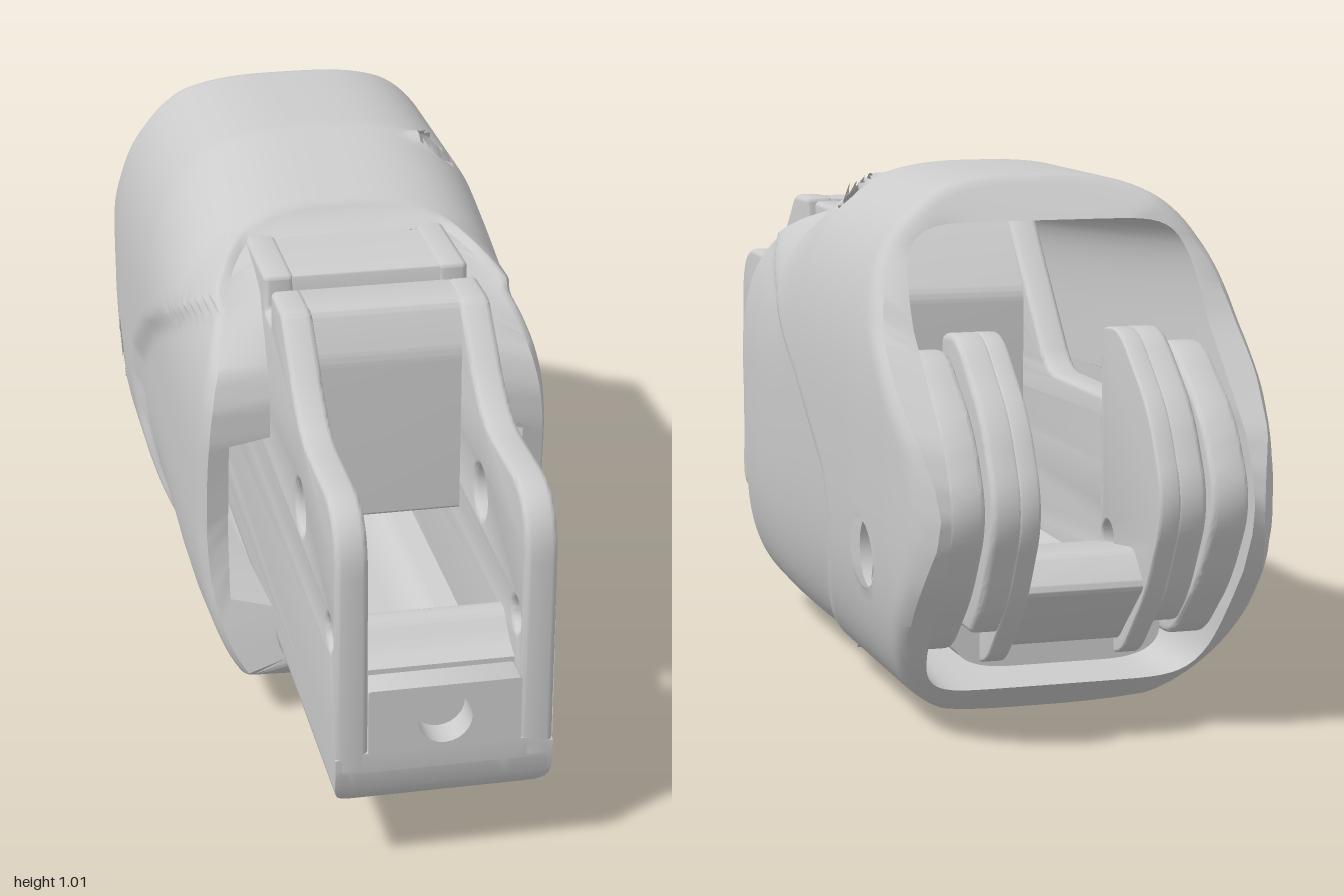
import * as THREE from 'three';
import { toCreasedNormals } from 'three/addons/utils/BufferGeometryUtils.js';

const mat = new THREE.MeshStandardMaterial({ color: 0xcccccc, side: THREE.DoubleSide });

// Piecewise-linear lookup in [key, value] pairs with ascending keys
function look(table, v) {
  if (v <= table[0][0]) return table[0][1];
  for (let i = 1; i < table.length; i++) {
    const [a, p] = table[i - 1], [b, q] = table[i];
    if (v <= b) return p + (q - p) * (v - a) / (b - a);
  }
  return table[table.length - 1][1];
}

// Polygon with rounded corners; a corner is [x, y, radius]
function rounded(points, radius = 0.02) {
  const s = new THREE.Shape(), n = points.length;
  points.forEach((p, i) => {
    const c = new THREE.Vector2(p[0], p[1]);
    const near = (q) => {
      const d = new THREE.Vector2(q[0], q[1]).sub(c);
      return c.clone().addScaledVector(d, Math.min(p[2] ?? radius, d.length() * 0.48) / d.length());
    };
    const a = near(points[(i + n - 1) % n]), b = near(points[(i + 1) % n]);
    if (i) s.lineTo(a.x, a.y); else s.moveTo(a.x, a.y);
    s.quadraticCurveTo(c.x, c.y, b.x, b.y);
  });
  s.closePath();
  return s;
}

function addHoles(shape, holes) {
  for (const [u, v, r] of holes) {
    const h = new THREE.Path();
    h.absarc(u, v, r, 0, Math.PI * 2, true);
    shape.holes.push(h);
  }
  return shape;
}

function add(group, name, geo) {
  const m = new THREE.Mesh(geo, mat);
  m.name = name;
  group.add(m);
  return m;
}

// Side outline in (z, y), extruded from x0 to x1
function slab(group, name, shape, x0, x1, bevel = 0) {
  const geo = new THREE.ExtrudeGeometry(shape, {
    depth: x1 - x0 - 2 * bevel, curveSegments: 10, bevelEnabled: bevel > 0,
    bevelSize: bevel, bevelOffset: -bevel, bevelThickness: bevel, bevelSegments: 3,
  });
  geo.rotateY(-Math.PI / 2).translate(x1 - bevel, 0, 0);
  return add(group, name, toCreasedNormals(geo, 0.6));
}

// Edges and envelope of the shell
const FRONT = [[-1, 0.28], [-0.8, 0.43], [-0.6, 0.41], [-0.38, 0.38], [-0.15, 0.37], [0.1, 0.385], [0.3, 0.4],
  [0.46, 0.4], [0.6, 0.38], [0.717, 0.33], [0.8, 0.27], [0.87, 0.19], [0.94, 0.08], [1, 0.04]];
const REAR = [[-1, -0.62], [-0.94, -0.7], [-0.7, -0.81], [-0.37, -0.95], [-0.22, -0.99], [-0.11, -1], [0, -0.985],
  [0.13, -0.95], [0.3, -0.86], [0.485, -0.76], [0.76, -0.67], [0.92, -0.65], [1, -0.61]];
const TOP = [[-0.22, 1.02], [-0.1, 0.985], [0.04, 0.935]];
const WIDTH = [[-1, 0.31], [-0.95, 0.335], [-0.85, 0.355], [-0.65, 0.37], [0.2, 0.37], [0.42, 0.36]];
const CREASE = [[0.03, -0.12], [0.1, -0.24], [0.2, -0.38], [0.3, -0.46], [0.38, -0.48], [0.46, -0.45],
  [0.6, -0.25], [0.83, 0.2], [0.9, 0.4]];
const PIVOT = [-0.7, 0.35, 0.065];
const SCREWS = [[-0.21, 0.96, 0.037], [-0.15, 0.07, 0.034]];

// Radial superellipse point on the unit square
function ring(angle, n) {
  const c = Math.cos(angle), s = Math.sin(angle);
  const k = (Math.abs(c) ** n + Math.abs(s) ** n) ** (-1 / n);
  return [c * k, s * k];
}

function outerPoint(t, angle) {
  const [u, s] = ring(angle, 3);
  const z = THREE.MathUtils.lerp(look(FRONT, s), look(REAR, s), t);
  const mid = (0.01 + look(TOP, z)) / 2;
  const lip = Math.max(0, 1 - Math.min(t, 1 - t) / 0.04);
  const k = 1 - 0.035 * lip * lip;
  const y = mid + s * k * (mid - 0.01);
  // shallow step along the swept side crease
  const step = 0.018 * THREE.MathUtils.smoothstep(z - look(CREASE, y), 0, 0.07);
  return [u * k * (look(WIDTH, z) - step), y, z];
}

function innerPoint(t, angle) {
  const [u, s] = ring(angle, 8), lerp = THREE.MathUtils.lerp;
  const bottom = lerp(0.12, 0.09, t), top = lerp(0.9, 0.94, t);
  const y = (bottom + top) / 2 + s * (top - bottom) / 2;
  let x = u * lerp(0.21, 0.28, t);
  // side pockets
  if (y > 0.25 && y < 0.6) x = Math.sign(x) * Math.max(Math.abs(x), 0.29 - 0.01 * t);
  return [x, y, lerp(look(FRONT, (y - 0.47) / 0.46), look(REAR, (y - 0.515) / 0.505), t)];
}

// Hollow shell: outer skin, rear rim, inner skin, front rim in one closed strip
function shellGeometry() {
  const N = 168, S = 64, pos = [], cut = [], idx = [];
  for (let i = 0; i < 2 * S; i++) {
    const outer = i < S, t = (outer ? i : 2 * S - 1 - i) / (S - 1);
    for (let j = 0; j < N; j++) {
      const p = (outer ? outerPoint : innerPoint)(t, (j / N) * Math.PI * 2);
      let inside = false;
      for (const [hz, hy, r] of outer ? [PIVOT, ...SCREWS] : [PIVOT]) {
        const dz = p[2] - hz + 1e-6, dy = p[1] - hy, d = Math.hypot(dz, dy);
        if (d > r || Math.abs(p[0]) < 0.12 || (r < 0.05 && p[0] < 0)) continue;
        inside = true;
        p[2] = hz + dz * r / d;
        p[1] = hy + dy * r / d;
      }
      pos.push(...p);
      cut.push(inside);
    }
  }
  for (let i = 0; i < 2 * S; i++) for (let j = 0; j < N; j++) {
    const k = (i + 1) % (2 * S), l = (j + 1) % N;
    const a = i * N + j, b = i * N + l, c = k * N + j, d = k * N + l;
    if (!(cut[a] && cut[b] && cut[c] && cut[d])) idx.push(a, c, b, b, c, d);
  }
  const g = new THREE.BufferGeometry();
  g.setAttribute('position', new THREE.Float32BufferAttribute(pos, 3));
  g.setIndex(idx);
  return toCreasedNormals(g, 0.6);
}

// Cross-section in (x, y) extruded along z, with its lower front edge rounded
function section(group, name, shape, z0, z1, steps) {
  const geo = new THREE.ExtrudeGeometry(shape, { depth: z1 - z0, steps, bevelEnabled: false, curveSegments: 12 });
  geo.translate(0, 0, z0);
  const p = geo.attributes.position, r = 0.09;
  for (let i = 0; i < p.count; i++) {
    const e = Math.max(0, p.getZ(i) - (1 - r));
    p.setY(i, Math.max(p.getY(i), 0.13 + r - Math.sqrt(Math.max(0, r * r - e * e))));
  }
  return add(group, name, toCreasedNormals(geo, 0.6));
}

export function createModel() {
  const model = new THREE.Group();

  const shell = new THREE.Group();
  shell.name = 'shell';
  model.add(shell);
  add(shell, 'shellBody', shellGeometry());

  const tab = [[-0.66, 0.74], [-0.75, 0.75, 0.06], [-0.91, 0.62, 0.06], [-0.995, 0.46, 0.08], [-0.9, 0.28, 0.06],
    [-0.77, 0.14, 0.05], [-0.66, 0.14]];
  const lug = tab.map(([z, y, r]) => [z, 0.45 + (y - 0.45) * 0.9, r]);
  for (const side of [-1, 1]) {
    const span = (a, b) => (side > 0 ? [a, b] : [-b, -a]);
    // pivot lugs inside the shell and the pivot bores
    slab(shell, 'pivotLug', addHoles(rounded(lug), [[-0.7, 0.35, 0.033]]), ...span(0.21, 0.28), 0.01);
    const bore = add(shell, 'pivotBore', new THREE.CylinderGeometry(0.065, 0.065, 0.075, 32, 1, true));
    bore.rotation.z = Math.PI / 2;
    bore.position.set(side * 0.31, 0.35, -0.7);
  }

  // screw seats on one side
  for (const [z, y, r] of SCREWS) {
    const wall = add(shell, 'screwSeat', new THREE.CylinderGeometry(r, r, 0.06, 24, 1, true));
    wall.rotation.z = Math.PI / 2;
    wall.position.set(0.18, y, z);
    const screw = add(shell, 'screw', new THREE.CylinderGeometry(r * 0.65, r, 0.03, 24));
    screw.rotation.z = -Math.PI / 2;
    screw.position.set(0.175, y, z);
  }

  const arm = new THREE.Group();
  arm.name = 'arm';
  model.add(arm);

  // side plates with pin holes, thicker at the rear tabs
  const plate = [[1, 0.22, 0.005], [1, 0.74, 0.13], [0.68, 0.735, 0.07], [0.6, 0.78, 0.05], [0.47, 0.9], [0.36, 0.9, 0.01],
    [0.36, 0.83, 0.01], [0.29, 0.83, 0.01], [0.29, 0.9, 0.01], [0.02, 0.9], [-0.25, 0.6, 0.05], [-0.66, 0.6, 0.01],
    ...tab.slice(0, 5), [-0.84, 0.22, 0.01]];
  const pins = [[0.66, 0.59, 0.05], [0.94, 0.48, 0.03], [-0.7, 0.35, 0.033]];
  for (const side of [-1, 1]) {
    const span = (a, b) => (side > 0 ? [a, b] : [-b, -a]);
    slab(arm, 'sidePlate', addHoles(rounded(plate), pins), ...span(0.14, 0.2), 0.012);
    slab(arm, 'rearTab', addHoles(rounded(tab), [pins[2]]), ...span(0.11, 0.15), 0.005);
  }

  // rounded floor of the channel
  const floor = rounded([[-0.2, 0.25, 0], [-0.2, 0.13, 0.11], [0.2, 0.13, 0.11], [0.2, 0.25, 0], [0.14, 0.27, 0],
    [0.09, 0.2, 0.06], [-0.09, 0.2, 0.06], [-0.14, 0.27, 0]]);
  section(arm, 'channelFloor', floor, -0.74, 0.95, 40);

  // front wall with its round socket, and the sloping crossbar behind it
  const wall = rounded([[-0.2, 0.25, 0], [-0.2, 0.13, 0.11], [0.2, 0.13, 0.11], [0.2, 0.25, 0], [0.14, 0.26, 0],
    [0.14, 0.385, 0.005], [-0.14, 0.385, 0.005], [-0.14, 0.26, 0]]);
  section(arm, 'frontWall', addHoles(wall, [[0, 0.318, 0.05]]), 0.93, 1, 10);
  slab(arm, 'crossbar', rounded([[0.94, 0.2, 0], [0.94, 0.395, 0], [0.9, 0.41, 0.03], [0.86, 0.45], [0.82, 0.45], [0.8, 0.2, 0]]),
    -0.142, 0.142);

  // notched block bridging the plates at the top
  slab(arm, 'topBlock', rounded([[0.5, 0.48, 0.005], [0.5, 0.81, 0.02], [0.46, 0.898], [0.36, 0.898, 0.005], [0.36, 0.83, 0.005],
    [0.29, 0.83, 0.005], [0.29, 0.898, 0.005], [0.03, 0.898], [-0.1, 0.74], [-0.1, 0.48, 0.005]]), -0.145, 0.145);

  // wedge joining the rear tabs
  slab(arm, 'rearBridge', rounded([[-0.58, 0.2], [-0.62, 0.33], [-0.84, 0.36], [-0.9, 0.3], [-0.76, 0.17]]), -0.12, 0.12);

  return model;
}
